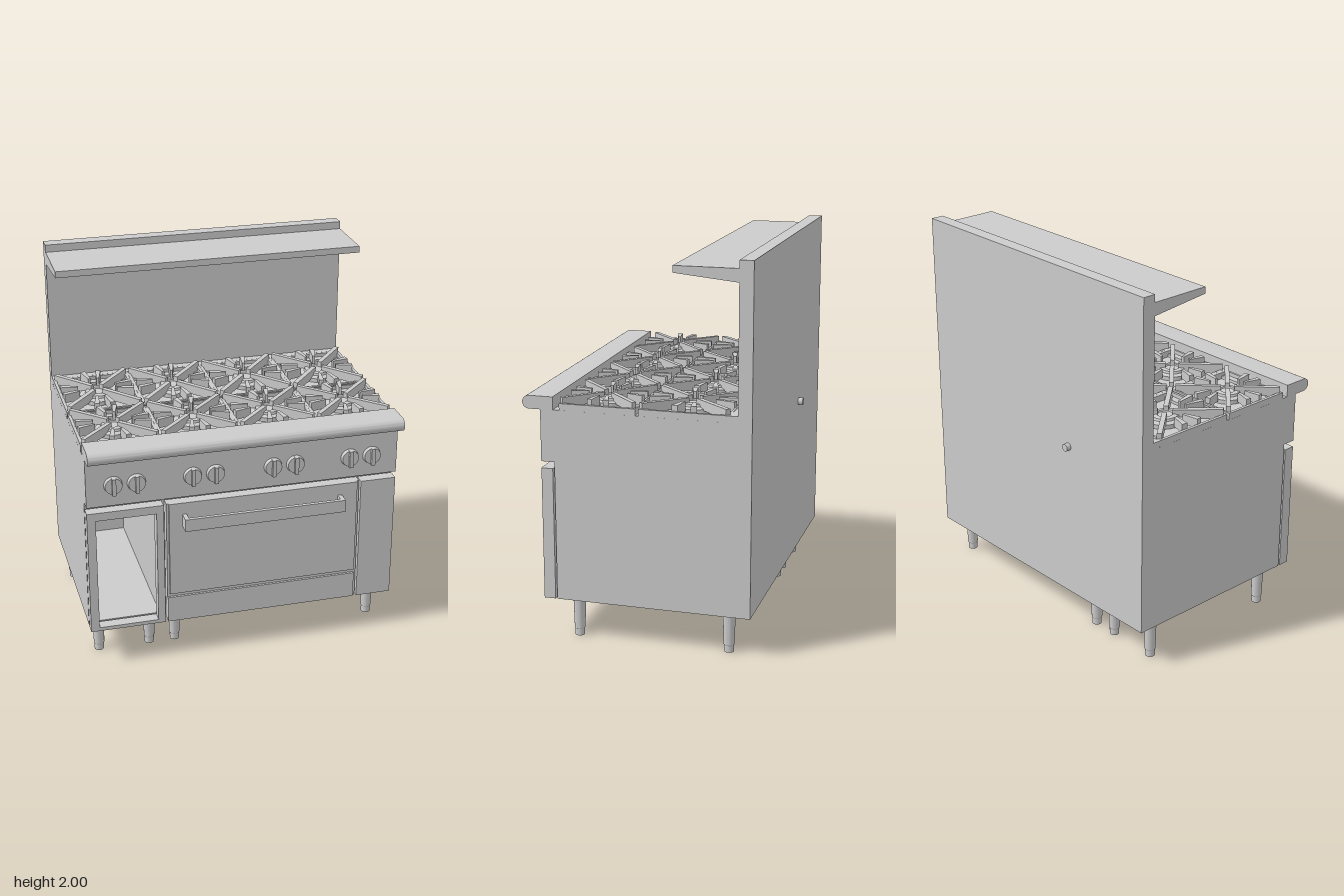
import * as THREE from 'three';
import { toCreasedNormals } from 'three/addons/utils/BufferGeometryUtils.js';

const steel = new THREE.MeshStandardMaterial({ color: 0xcccccc });

export function createModel() {
  const model = new THREE.Group();
  const W = 1.65;

  function add(name, geometry, parent = model) {
    const mesh = new THREE.Mesh(geometry, steel);
    mesh.name = name;
    parent.add(mesh);
    return mesh;
  }

  // Box given by its limits on each axis
  function box(name, x0, x1, y0, y1, z0, z1, parent) {
    const g = new THREE.BoxGeometry(x1 - x0, y1 - y0, z1 - z0);
    g.translate((x0 + x1) / 2, (y0 + y1) / 2, (z0 + z1) / 2);
    return add(name, g, parent);
  }

  function rect(T, x0, x1, y0, y1) {
    return new T([[x0, y0], [x1, y0], [x1, y1], [x0, y1]].map(p => new THREE.Vector2(...p)));
  }

  // Rectangular panel with a rectangular opening, facing z
  function frame(name, outer, inner, z0, z1) {
    const s = rect(THREE.Shape, ...outer);
    s.holes.push(rect(THREE.Path, ...inner));
    const g = new THREE.ExtrudeGeometry(s, { depth: z1 - z0, bevelEnabled: false });
    return add(name, g.translate(0, 0, z0));
  }

  // Side profile drawn in (z, y), swept across the full width
  function sweep(name, shape) {
    const g = new THREE.ExtrudeGeometry(shape, { depth: W, bevelEnabled: false, curveSegments: 12 });
    g.translate(0, 0, -W / 2).rotateY(-Math.PI / 2);
    return add(name, toCreasedNormals(g, 0.6));
  }

  // Cabinet body, hollow behind the open storage bay
  frame('body', [-0.825, 0.825, 0.21, 1.21], [-0.8, -0.445, 0.23, 0.88], -0.53, 0.435);
  box('backPanel', -0.825, 0.825, 0.21, 1.21, -0.578, -0.53);
  box('controlPanel', -0.825, 0.825, 0.94, 1.21, 0.435, 0.505);

  // Front doors and panels
  frame('storageFrame', [-0.825, -0.427, 0.21, 0.905], [-0.78, -0.465, 0.23, 0.86], 0.445, 0.505);
  box('ovenSurround', -0.412, 0.628, 0.21, 0.905, 0.445, 0.493);
  box('ovenDoor', -0.4, 0.615, 0.375, 0.905, 0.493, 0.505);
  box('kickPanel', -0.412, 0.615, 0.21, 0.355, 0.493, 0.505);
  box('sidePanel', 0.634, 0.825, 0.21, 0.905, 0.445, 0.505);

  // Oven handle
  box('handleBar', -0.33, 0.53, 0.772, 0.84, 0.55, 0.57);
  for (const x of [-0.33, 0.508]) box('handleBracket', x, x + 0.022, 0.772, 0.84, 0.505, 0.552);

  // Rounded front ledge
  const ledge = new THREE.Shape();
  ledge.moveTo(0.438, 1.208);
  ledge.lineTo(0.565, 1.208);
  ledge.absarc(0.565, 1.242, 0.034, -Math.PI / 2, Math.PI / 2, false);
  ledge.lineTo(0.438, 1.276);
  ledge.closePath();
  sweep('frontLedge', ledge);

  // Backsplash and tapered shelf
  box('backsplash', -0.825, 0.825, 1.21, 2, -0.578, -0.507);
  sweep('shelf', new THREE.Shape([[-0.507, 1.893], [-0.182, 1.925], [-0.182, 1.96], [-0.507, 1.96]]
    .map(p => new THREE.Vector2(...p))));

  // Gas inlet on the back
  const inlet = new THREE.CylinderGeometry(0.02, 0.02, 0.03, 20).rotateX(Math.PI / 2);
  add('gasInlet', inlet.translate(-0.275, 1.055, -0.588));

  // Control knobs in pairs
  for (const cx of [-0.625, -0.215, 0.21, 0.625]) {
    for (const dx of [-0.06, 0.06]) {
      const knob = new THREE.Group();
      knob.name = 'knob';
      knob.position.set(cx + dx, 1.055, 0.505);
      add('knobDial', new THREE.CylinderGeometry(0.044, 0.048, 0.02, 32)
        .rotateX(Math.PI / 2).translate(0, 0, 0.01), knob);
      box('knobGrip', -0.01, 0.01, -0.046, 0.046, 0, 0.036, knob);
      model.add(knob);
    }
  }

  // Legs with narrower feet
  const legProfile = [[0, 0], [0.025, 0], [0.025, 0.035], [0.028, 0.04], [0.032, 0.21]]
    .map(p => new THREE.Vector2(...p));
  const legGeometry = toCreasedNormals(new THREE.LatheGeometry(legProfile, 24), 0.5);
  for (const x of [-0.76, -0.485, -0.345, 0.755]) {
    for (const z of [0.34, -0.455]) add('leg', legGeometry).position.set(x, 0, z);
  }

  // Grate finger: flat tapered bar running out along +x
  function finger(r0, r1, w0, w1, y0, y1) {
    const s = new THREE.Shape([[r0, -w0], [r1, -w1], [r1, w1], [r0, w0]].map(p => new THREE.Vector2(...p)));
    return new THREE.ExtrudeGeometry(s, { depth: y1 - y0, bevelEnabled: false })
      .rotateX(-Math.PI / 2).translate(0, y0, 0);
  }
  const diagonal = finger(0.035, 0.27, 0.012, 0.012, 0.015, 0.065);
  const spoke = finger(0.105, 0.196, 0.007, 0.014, 0.015, 0.065);
  const burnerProfile = [[0, 0], [0.095, 0], [0.095, 0.022], [0.068, 0.028], [0.064, 0.04],
    [0.04, 0.043], [0.036, 0.036], [0, 0.036]].map(p => new THREE.Vector2(...p));
  const burnerGeometry = toCreasedNormals(new THREE.LatheGeometry(burnerProfile, 32), 0.5);

  // Burner cell: raised rim, stepped pan, burner and star grate
  function burnerCell(x, z, depth) {
    const cell = new THREE.Group();
    cell.name = 'burnerCell';
    cell.position.set(x, 1.21, z);
    cell.scale.z = depth / 0.4;
    for (const s of [-1, 1]) {
      box('rimSide', s * 0.198 - 0.008, s * 0.198 + 0.008, 0, 0.035, -0.2, 0.2, cell);
      box('rimEnd', -0.205, 0.205, 0, 0.035, s * 0.194 - 0.006, s * 0.194 + 0.006, cell);
      box('panStep', -0.19, 0.19, 0, 0.015, s * 0.172 - 0.018, s * 0.172 + 0.018, cell);
    }
    add('burner', burnerGeometry, cell);
    for (let i = 0; i < 4; i++) {
      const a = i * Math.PI / 2;
      add('grateDiagonal', diagonal, cell).rotation.y = a + Math.PI / 4;
      for (const d of [-0.22, 0.22]) add('grateSpoke', spoke, cell).rotation.y = a + d;
    }
    model.add(cell);
  }
  for (let i = 0; i < 4; i++) {
    const x = (i - 1.5) * 0.4125;
    burnerCell(x, 0.208, 0.395);
    burnerCell(x, -0.235, 0.46);
  }
  // Rear filler strip between the grates and the backsplash
  box('rearStrip', -0.825, 0.825, 1.21, 1.245, -0.507, -0.466);

  return model;
}
